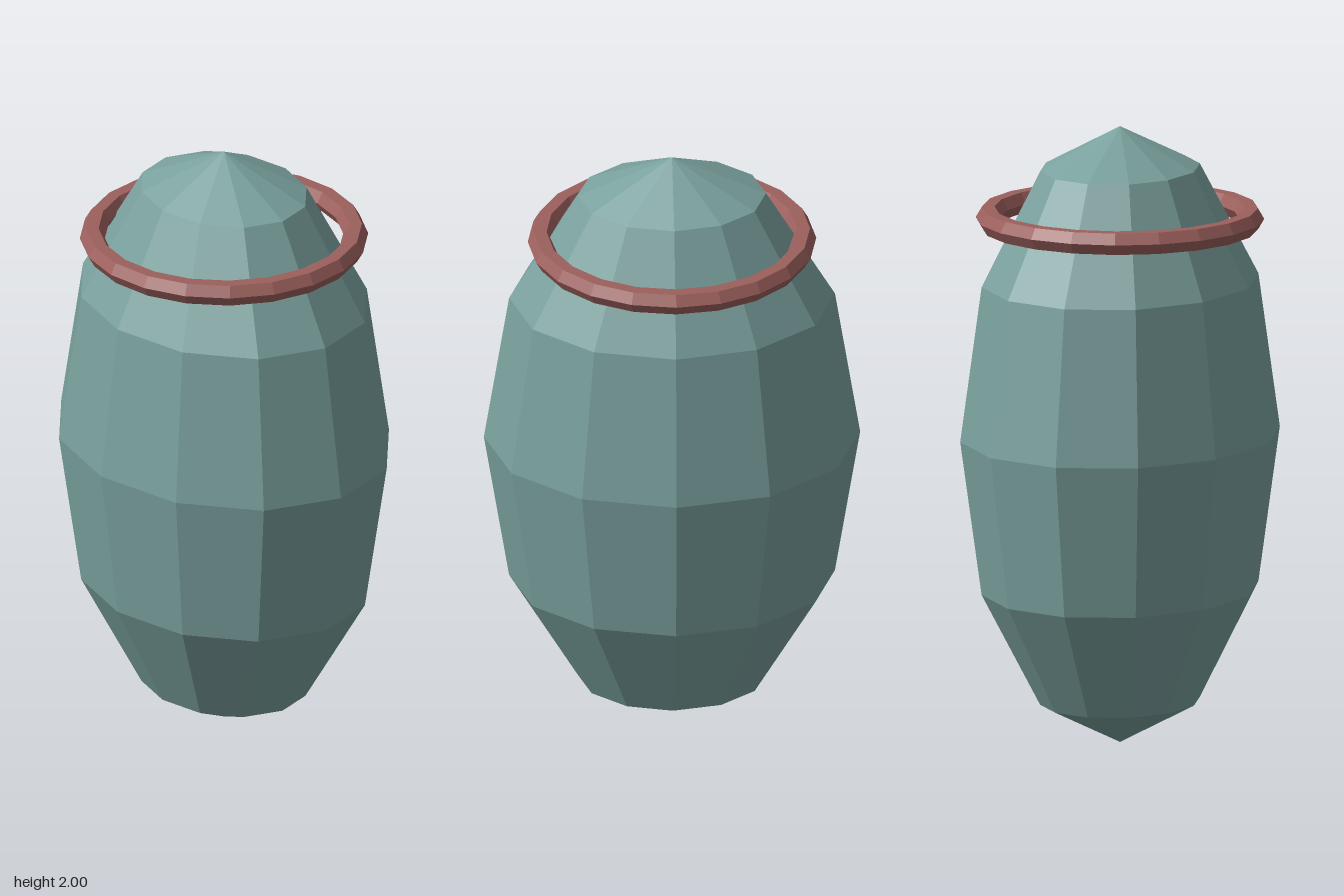
import * as THREE from 'three';

export function createModel() {
  const group = new THREE.Group();
  const add = (name, geometry, color, y) => {
    const mesh = new THREE.Mesh(geometry, new THREE.MeshStandardMaterial({ color, flatShading: true }));
    mesh.name = name;
    mesh.position.y = y;
    group.add(mesh);
    return mesh;
  };

  // Faceted egg-shaped body, wider than it is deep
  add('body', new THREE.SphereGeometry(1, 12, 6).scale(0.6, 1, 0.5), 0x7aa19e, 1);

  // Six-sided ring lying level around the upper body
  add('ring', new THREE.TorusGeometry(0.42, 0.04, 6, 20).rotateX(Math.PI / 2), 0x9c605d, 1.702);

  return group;
}
